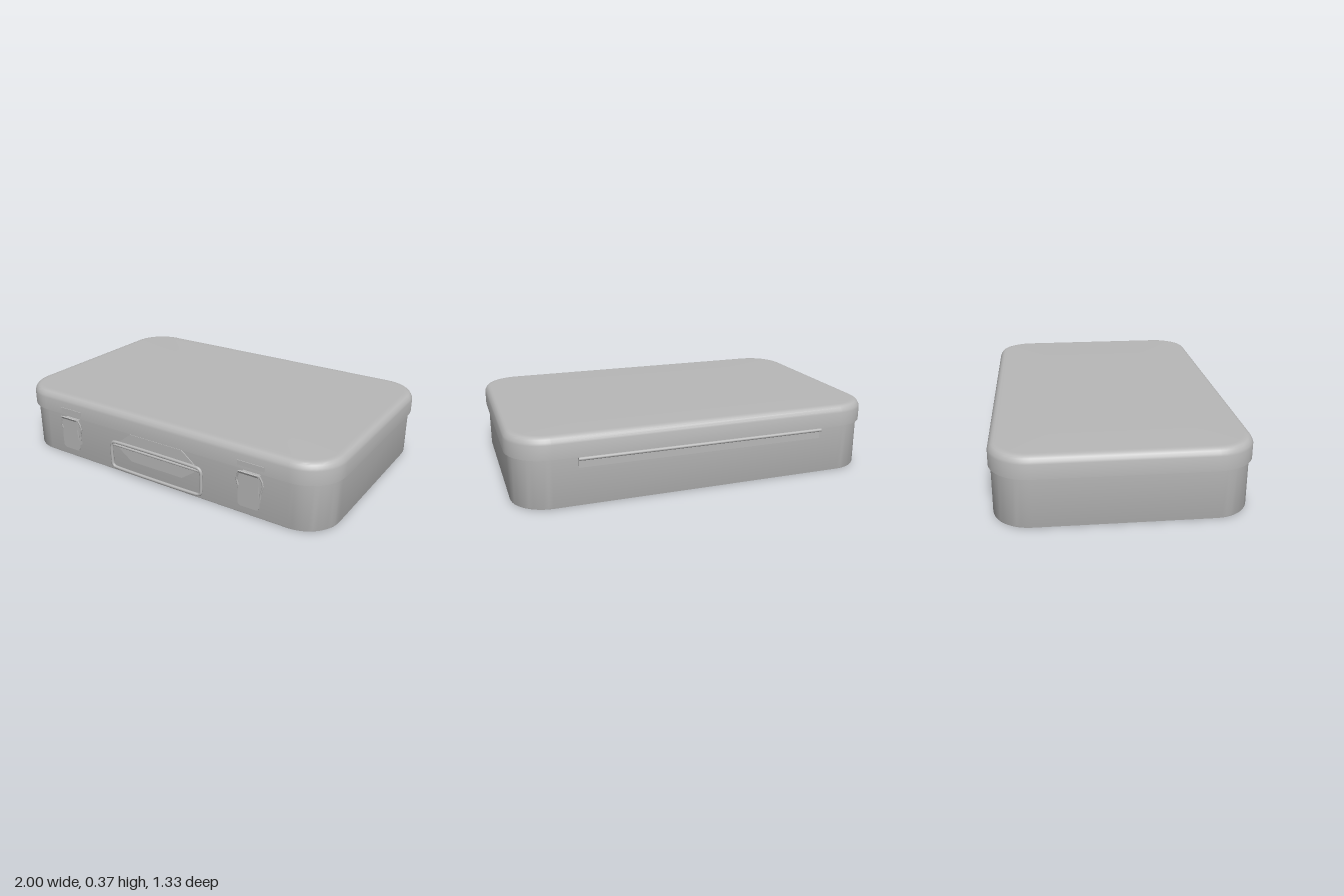
import * as THREE from 'three';
import { toCreasedNormals } from 'three/addons/utils/BufferGeometryUtils.js';

const metal = new THREE.MeshStandardMaterial({ name: 'greyMetal', color: 0xb8b8b8, side: THREE.DoubleSide });

function add(parent, name, geometry, x = 0, y = 0, z = 0) {
  const mesh = new THREE.Mesh(geometry, metal);
  mesh.name = name;
  mesh.position.set(x, y, z);
  parent.add(mesh);
  return mesh;
}

// Stacks rounded rectangles [inset, y] into a shell, capped where asked
function roundedShell(halfW, zBack, zFront, radius, profile, capBottom, capTop) {
  const steps = 12, n = 4 * (steps + 1), pos = [], index = [];
  const zMid = (zBack + zFront) / 2, halfD = (zFront - zBack) / 2;
  for (const [inset, y] of profile) {
    for (let q = 0; q < 4; q++) {
      const sx = q === 0 || q === 3 ? 1 : -1, sz = q < 2 ? 1 : -1;
      for (let s = 0; s <= steps; s++) {
        const a = (q + s / steps) * Math.PI / 2;
        pos.push(
          sx * (halfW - radius) + Math.cos(a) * (radius - inset), y,
          zMid + sz * (halfD - radius) + Math.sin(a) * (radius - inset));
      }
    }
  }
  const last = (profile.length - 1) * n, bottom = pos.length / 3, top = bottom + 1;
  pos.push(0, profile[0][1], zMid, 0, profile[profile.length - 1][1], zMid);
  for (let i = 0; i < n; i++) {
    const j = (i + 1) % n;
    for (let k = 0; k < last; k += n) {
      index.push(k + i, k + n + i, k + j, k + j, k + n + i, k + n + j);
    }
    if (capBottom) index.push(bottom, i, j);
    if (capTop) index.push(top, last + j, last + i);
  }
  const g = new THREE.BufferGeometry();
  g.setAttribute('position', new THREE.Float32BufferAttribute(pos, 3));
  g.setIndex(index);
  return toCreasedNormals(g, 0.7);
}

// Round wire through straight runs
function wire(points, radius, closed = false) {
  const path = new THREE.CurvePath();
  const v = points.map(p => new THREE.Vector3(...p));
  const count = closed ? v.length : v.length - 1;
  for (let i = 0; i < count; i++) path.add(new THREE.LineCurve3(v[i], v[(i + 1) % v.length]));
  return new THREE.TubeGeometry(path, 96, radius, 8, closed);
}

function plate(points, depth) {
  const shape = new THREE.Shape(points.map(p => new THREE.Vector2(...p)));
  return new THREE.ExtrudeGeometry(shape, { depth, bevelEnabled: false });
}

function makeLatch(x, name) {
  const latch = new THREE.Group();
  latch.name = name;
  latch.position.x = x;
  // Catch on the lid
  add(latch, 'lidCatch', new THREE.BoxGeometry(0.15, 0.025, 0.008), 0, 0.29, 0.636);
  // Bracket against the case
  add(latch, 'bracket', new THREE.BoxGeometry(0.1, 0.155, 0.02), 0, 0.17, 0.63);
  // Bulging side wires
  add(latch, 'bail', wire([
    [-0.06, 0.125, 0.64], [-0.062, 0.155, 0.642], [-0.075, 0.2, 0.643], [-0.07, 0.225, 0.645],
    [-0.057, 0.252, 0.648], [0.057, 0.252, 0.648], [0.07, 0.225, 0.645],
    [0.075, 0.2, 0.643], [0.062, 0.155, 0.642], [0.06, 0.125, 0.64]], 0.005));
  // Lever with rounded lower corners
  const lever = add(latch, 'lever', plate([
    [-0.046, 0], [0.046, 0], [0.056, 0.005], [0.061, 0.016], [0.061, 0.065],
    [0.054, 0.13], [0.054, 0.185], [-0.054, 0.185], [-0.054, 0.13], [-0.061, 0.065],
    [-0.061, 0.016], [-0.056, 0.005]], 0.006), 0, 0.065, 0.648);
  lever.rotation.x = 0.025;
  // Lip curling outward at the top
  const lip = add(latch, 'leverLip', new THREE.BoxGeometry(0.11, 0.018, 0.005), 0, 0.253, 0.659);
  lip.rotation.x = 0.5;
  return latch;
}

export function createModel() {
  const model = new THREE.Group();
  model.name = 'carryCase';

  // Lower case and overhanging lid
  add(model, 'base', roundedShell(0.985, -0.643, 0.621, 0.19,
    [[0.008, 0], [0.002, 0.002], [0, 0.008], [0, 0.29]], true, true));
  add(model, 'lid', roundedShell(1, -0.655, 0.636, 0.205,
    [[0.02, 0.262], [0, 0.26], [0, 0.335], [0.004, 0.347], [0.012, 0.36],
      [0.021, 0.368], [0.032, 0.3715], [0.05, 0.372]], false, true));

  // Fold-down handle on its backing plate
  const handle = new THREE.Group();
  handle.name = 'handle';
  model.add(handle);
  add(handle, 'handlePlate', plate([
    [-0.28, 0.167], [-0.17, 0.09], [0.17, 0.09], [0.28, 0.167], [0.17, 0.252], [-0.17, 0.252]], 0.006), 0, 0, 0.62);
  const grip = [], r = 0.025;
  [[0.275, 0.16, 0], [-0.275, 0.16, 1], [-0.275, 0.055, 2], [0.275, 0.055, 3]].forEach(([x, y, q]) => {
    for (let s = 0; s <= 4; s++) {
      const a = (q + s / 4) * Math.PI / 2;
      grip.push([x + r * Math.cos(a), y + r * Math.sin(a), 0.635]);
    }
  });
  const path = new THREE.CatmullRomCurve3(grip.map(p => new THREE.Vector3(...p)), true, 'centripetal');
  add(handle, 'handleGrip', new THREE.TubeGeometry(path, 160, 0.009, 8, true));
  add(handle, 'handlePivot', new THREE.CylinderGeometry(0.007, 0.007, 0.58, 8).rotateZ(Math.PI / 2), 0, 0.167, 0.632);

  model.add(makeLatch(-0.593, 'rightLatch'), makeLatch(0.593, 'leftLatch'));

  // Long hinge along the back
  add(model, 'hingeRod', new THREE.CylinderGeometry(0.009, 0.009, 1.335, 12).rotateZ(Math.PI / 2), 0, 0.251, -0.658);
  add(model, 'hingeLeaf', new THREE.BoxGeometry(1.33, 0.05, 0.006), 0, 0.227, -0.645);
  return model;
}
